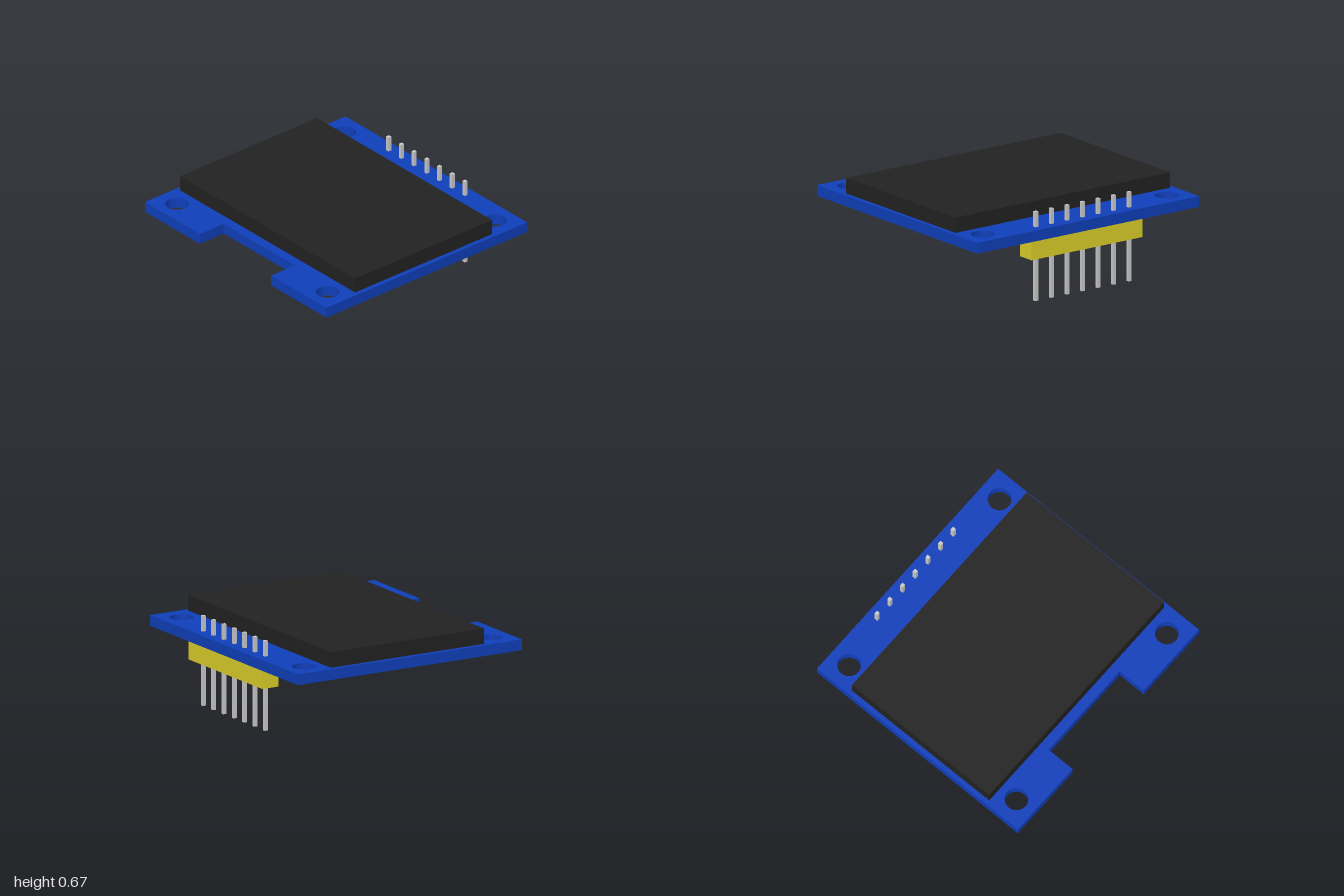
import * as THREE from 'three';

const material = (color) => new THREE.MeshStandardMaterial({ color });

export function createModel() {
  const group = new THREE.Group();
  const blue = material(0x0f3fbb);
  const black = material(0x222222);
  const yellow = material(0xddd02a);
  const metal = material(0xcccccc);

  function add(name, geometry, mat, x, y, z, parent = group) {
    const mesh = new THREE.Mesh(geometry, mat);
    mesh.name = name;
    mesh.position.set(x, y, z);
    parent.add(mesh);
    return mesh;
  }

  // Circuit board: outline in x/z with a front notch and four mounting holes
  const outline = new THREE.Shape([
    [-1, -0.945], [1, -0.945], [1, 0.945], [0.39, 0.945],
    [0.39, 0.72], [-0.395, 0.72], [-0.395, 0.945], [-1, 0.945],
  ].map(([x, z]) => new THREE.Vector2(x, z)));
  for (const x of [-0.83, 0.83]) {
    for (const z of [-0.787, 0.787]) {
      outline.holes.push(new THREE.Path().absarc(x, z, 0.085, 0, Math.PI * 2, true));
    }
  }
  const boardGeometry = new THREE.ExtrudeGeometry(outline, {
    depth: 0.08, bevelEnabled: false, curveSegments: 24,
  });
  boardGeometry.rotateX(Math.PI / 2);
  add('circuitBoard', boardGeometry, blue, 0, 0.55, 0);

  // Display panel on top
  add('displayPanel', new THREE.BoxGeometry(1.93, 0.115, 1.29), black, 0, 0.6075, 0);

  // Pin header block under the rear edge
  add('headerBlock', new THREE.BoxGeometry(1, 0.14, 0.138), yellow, 0, 0.4, -0.864);

  // Seven square pins running through header and board
  const pins = new THREE.Group();
  pins.name = 'headerPins';
  group.add(pins);
  const pinGeometry = new THREE.BoxGeometry(0.026, 0.665, 0.026);
  for (let i = 0; i < 7; i++) {
    add(`pin${i + 1}`, pinGeometry, metal, -0.43 + i * 0.14, 0.3325, -0.864, pins);
  }

  return group;
}
